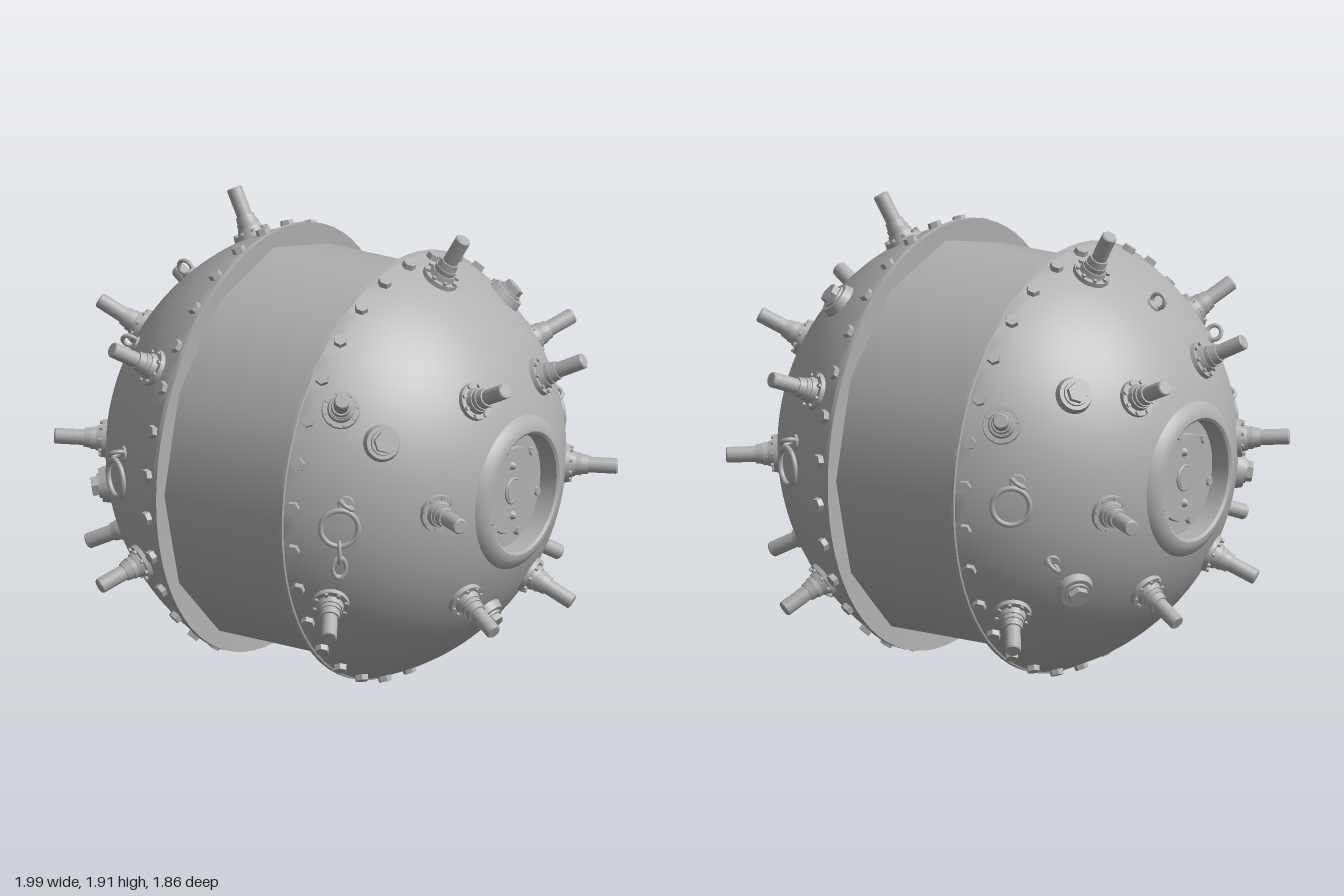
import * as THREE from 'three';
import { toCreasedNormals } from 'three/addons/utils/BufferGeometryUtils.js';

const R = 0.935; // hull sphere radius
const steel = new THREE.MeshStandardMaterial({ color: 0xb0b0b0 });
steel.name = 'steel grey';
const UP = new THREE.Vector3(0, 1, 0);

function part(name, geometry, y = 0) {
  const m = new THREE.Mesh(geometry, steel);
  m.name = name;
  m.position.y = y;
  return m;
}
function group(name, ...children) {
  const g = new THREE.Group();
  g.name = name;
  if (children.length) g.add(...children);
  return g;
}
// Upright cylinder standing on height y
const cyl = (name, rTop, rBottom, h, y, sides = 24) => {
  let geo = new THREE.CylinderGeometry(rTop, rBottom, h, sides);
  if (sides <= 8) geo = toCreasedNormals(geo, 0.5);
  return part(name, geo, y + h / 2);
};
const lathe = (name, pts, sides = 64) =>
  part(name, toCreasedNormals(new THREE.LatheGeometry(pts.map(p => new THREE.Vector2(...p)), sides), 0.6));

// Stand an object on the hull along a direction from the hull centre
function place(obj, x, y, z, radius = R) {
  const dir = new THREE.Vector3(x, y, z).normalize();
  obj.quaternion.setFromUnitVectors(UP, dir);
  obj.position.copy(dir).multiplyScalar(radius);
  return obj;
}

// Contact horn: bolted flange, stepped sleeve and pin
function makeHorn() {
  const g = group('contactHorn',
    cyl('hornFlange', 0.076, 0.08, 0.03, -0.015),
    cyl('hornCollar', 0.05, 0.056, 0.025, 0.014),
    cyl('hornSleeve', 0.046, 0.046, 0.022, 0.038),
    cyl('hornNeck', 0.038, 0.042, 0.03, 0.06),
    cyl('hornPin', 0.032, 0.032, 0.119, 0.085),
    cyl('hornTip', 0.027, 0.032, 0.006, 0.204));
  for (let i = 0; i < 8; i++) {
    const a = i * Math.PI / 4;
    const b = cyl('flangeBolt', 0.009, 0.009, 0.012, 0.014, 6);
    b.position.x = 0.066 * Math.cos(a);
    b.position.z = 0.066 * Math.sin(a);
    g.add(b);
  }
  return g;
}

// Filler plug with a hexagonal head
const makePlug = () => group('fillerPlug',
  cyl('plugBase', 0.068, 0.08, 0.045, -0.015),
  cyl('plugWasher', 0.05, 0.052, 0.012, 0.028),
  cyl('plugHead', 0.042, 0.044, 0.028, 0.038, 6));

// Lifting eye
function makeEye() {
  return group('liftingEye',
    cyl('eyeBase', 0.03, 0.036, 0.016, -0.008, 16),
    part('eyeLoop', new THREE.TorusGeometry(0.03, 0.009, 10, 24), 0.028));
}

// Dome half pointing along +y, with collar and recessed hub
function makeDome() {
  const g = group('dome');
  const shell = [[0.79, 0.3], [0.888, 0.295], [0.888, 0.312]];
  const a0 = Math.asin(0.315 / R), a1 = Math.acos(0.28 / R);
  for (let i = 0; i <= 18; i++) {
    const a = a0 + (a1 - a0) * i / 18;
    shell.push([R * Math.cos(a), R * Math.sin(a)]);
  }
  g.add(lathe('domeShell', shell, 72));
  g.add(lathe('hubCollar', [[0.325, 0.868], [0.318, 0.884], [0.295, 0.903], [0.275, 0.914],
    [0.256, 0.916], [0.245, 0.908], [0.243, 0.83], [0.001, 0.83]], 48));
  // Hub cover plate
  g.add(cyl('hubPlate', 0.212, 0.212, 0.014, 0.828, 48),
    cyl('hubCover', 0.178, 0.182, 0.01, 0.842, 48),
    cyl('hubBoss', 0.046, 0.046, 0.012, 0.85));
  const ring = part('hubBossRing', new THREE.TorusGeometry(0.05, 0.007, 8, 32), 0.854);
  ring.rotation.x = Math.PI / 2;
  g.add(ring);
  for (let i = 0; i < 6; i++) {
    const a = (i * 60 + 12) * Math.PI / 180;
    const b = cyl('hubBolt', 0.018, 0.018, 0.02, 0.842, 6);
    b.position.x = -0.19 * Math.cos(a);
    b.position.z = 0.19 * Math.sin(a);
    g.add(b);
  }
  for (const s of [-1, 1]) {
    const lug = cyl('hubLug', 0.008, 0.02, 0.02, 0.85, 12);
    lug.position.x = s * 0.107;
    g.add(lug);
  }
  // Bolts around the rim
  const ax = 0.35, ar = Math.sqrt(R * R - ax * ax);
  for (let i = 0; i < 30; i++) {
    const a = i * Math.PI / 15;
    const b = group('rimBolt',
      cyl('rimBoltHead', 0.027, 0.03, 0.034, -0.012, 6));
    g.add(place(b, ar * Math.cos(a), ax, ar * Math.sin(a)));
  }
  return g;
}

export function createModel() {
  const model = group('navalMine');
  const hull = group('hull');
  hull.position.y = 0.907;
  model.add(hull);

  // Central drum, low-sided but smooth
  const drum = part('centreDrum', new THREE.CylinderGeometry(0.82, 0.82, 0.62, 12, 1, true));
  drum.rotation.z = Math.PI / 2;
  hull.add(drum);

  for (const s of [1, -1]) {
    const dome = makeDome();
    dome.rotation.z = -s * Math.PI / 2;
    hull.add(dome);

    // Inner row of six horns, outer row of five with the lowest left out
    for (let k = 0; k < 6; k++) {
      const inner = (5 + 60 * k) * Math.PI / 180;
      hull.add(place(makeHorn(), s * 0.857, 0.515 * Math.sin(inner), 0.515 * Math.cos(inner)));
      if (k === 4) continue;
      const outer = (35.5 + 60 * k) * Math.PI / 180;
      hull.add(place(makeHorn(), s * 0.485, 0.875 * Math.sin(outer), 0.875 * Math.cos(outer)));
    }

    // Hanging rings at front and back
    for (const f of [1, -1]) {
      const eye = makeEye();
      place(eye, s * 0.54, 0.115, f * 0.76);
      hull.add(eye);
      const hanger = group('mooringRing',
        part('ringHoop', new THREE.TorusGeometry(0.077, 0.011, 10, 40)));
      hanger.position.set(s * 0.54, 0.025, f * 0.81);
      hanger.rotation.y = Math.atan2(s * 0.56, f * 0.83);
      hull.add(hanger);
      // Short chain on one ring only
      if (s > 0 && f > 0) {
        [-0.105, -0.17].forEach((y, i) => {
          const link = part('chainLink', new THREE.TorusGeometry(0.028, 0.008, 8, 24), y);
          link.scale.y = 1.5;
          link.rotation.y = i ? 0.2 : Math.PI / 2;
          hanger.add(link);
        });
      }
    }
  }

  // Filler plugs
  const plugs = [[0.62, 0.35, 0.615], [0.53, 0.64, -0.45], [0.77, -0.52, 0.08],
    [-0.65, 0.44, -0.51], [-0.675, -0.37, -0.54], [-0.74, -0.12, 0.555]];
  for (const p of plugs) hull.add(place(makePlug(), ...p));

  // Lifting eyes on one dome
  const eyes = [[-0.65, 0.68, 0.1], [-0.69, 0.47, 0.45], [-0.65, -0.45, 0.5], [-0.645, -0.24, -0.66]];
  for (const p of eyes) hull.add(place(makeEye(), ...p));

  return model;
}
